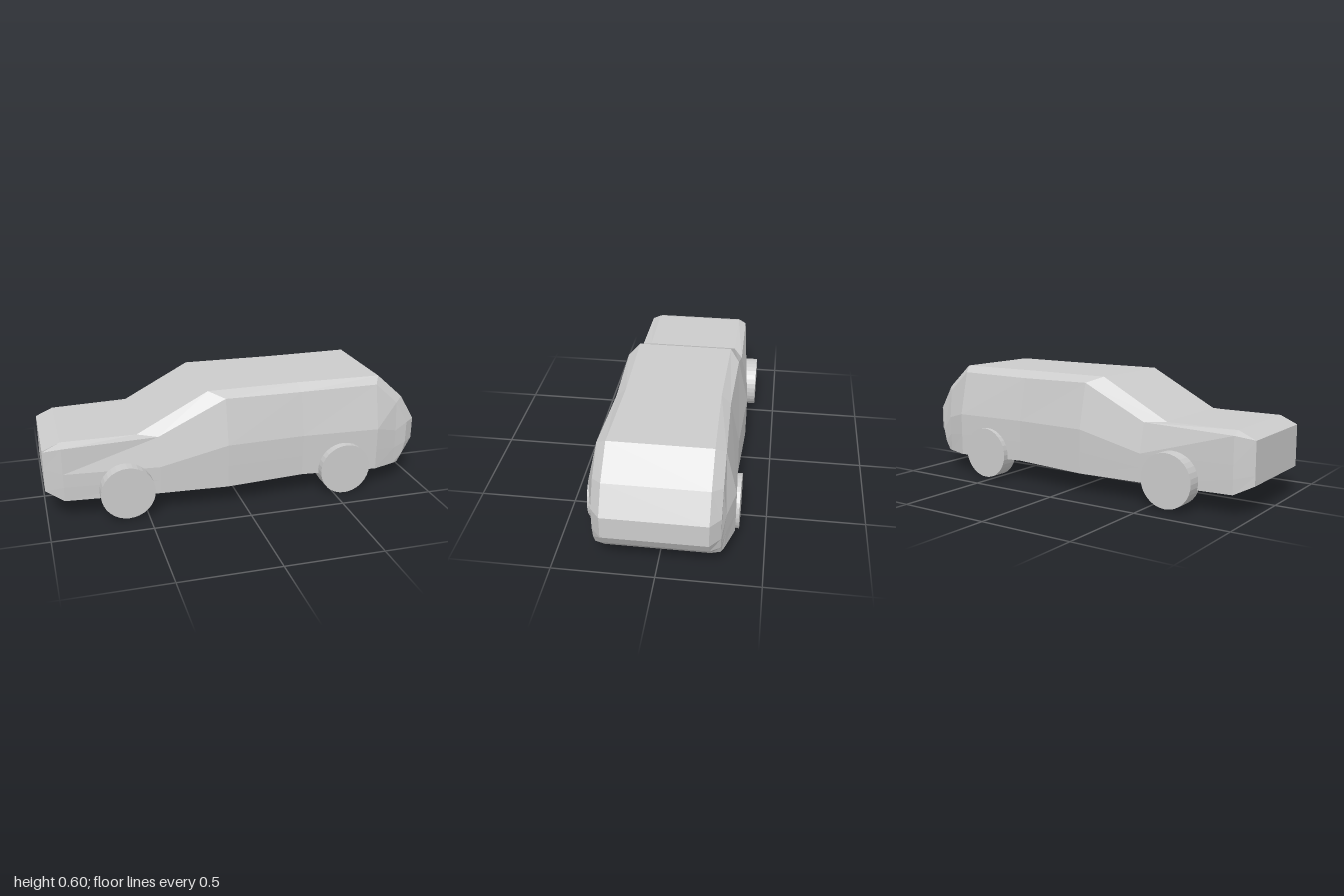
import * as THREE from 'three';

const grey = new THREE.MeshStandardMaterial({ color: 0xcccccc, flatShading: true });

// Each station is half a cross-section: floor edge, lower side, waist, shoulder, roof edge as [x, y, z]
const stations = [
  [[-1, 0.15, 0.25], [-1, 0.2, 0.25], [-1, 0.27, 0.25], [-1, 0.36, 0.25], [-1, 0.365, 0.25]],
  [[-0.91, 0.105, 0.295], [-0.91, 0.18, 0.297], [-0.91, 0.25, 0.297], [-0.91, 0.385, 0.295], [-0.91, 0.405, 0.25]],
  [[-0.43, 0.105, 0.335], [-0.43, 0.18, 0.335], [-0.43, 0.25, 0.335], [-0.43, 0.4, 0.3], [-0.53, 0.405, 0.25]],
  [[-0.08, 0.105, 0.353], [-0.08, 0.22, 0.354], [-0.08, 0.335, 0.354], [-0.08, 0.568, 0.3], [-0.16, 0.6, 0.25]],
  [[0.33, 0.115, 0.335], [0.33, 0.22, 0.336], [0.33, 0.335, 0.336], [0.33, 0.562, 0.288], [0.32, 0.6, 0.24]],
  [[0.745, 0.105, 0.353], [0.745, 0.22, 0.354], [0.745, 0.335, 0.354], [0.745, 0.568, 0.3], [0.775, 0.6, 0.25]],
  [[0.87, 0.105, 0.312], [0.87, 0.2, 0.316], [0.87, 0.3, 0.316], [0.87, 0.455, 0.3], [0.92, 0.47, 0.25]],
  [[0.9, 0.105, 0.298], [0.925, 0.155, 0.3], [0.94, 0.22, 0.3], [0.94, 0.335, 0.3], [1, 0.335, 0.25]],
  [[0.915, 0.105, 0.25], [0.965, 0.16, 0.25], [1, 0.22, 0.25], [1, 0.33, 0.25], [1, 0.335, 0.25]],
];

// Lofts the mirrored stations into a closed shell
function bodyGeometry() {
  const pos = [];
  const quad = (a, b, c, d) => pos.push(...a, ...b, ...c, ...a, ...c, ...d);
  const mirror = ([x, y, z]) => [x, y, -z];
  const rings = stations.map((half) => [...half, ...half.map(mirror).reverse()]);
  const n = rings[0].length;
  for (let i = 0; i < rings.length - 1; i++) {
    const a = rings[i], b = rings[i + 1];
    for (let j = 0; j < n; j++) {
      const k = (j + 1) % n;
      quad(a[j], b[j], b[k], a[k]);
    }
  }
  // nose and tail panels
  const nose = stations[0], tail = stations[stations.length - 1];
  for (let j = 0; j < nose.length - 1; j++) {
    quad(tail[j], mirror(tail[j]), mirror(tail[j + 1]), tail[j + 1]);
    quad(mirror(nose[j]), nose[j], nose[j + 1], mirror(nose[j + 1]));
  }
  const geo = new THREE.BufferGeometry();
  geo.setAttribute('position', new THREE.Float32BufferAttribute(pos, 3));
  geo.computeVertexNormals();
  return geo;
}

function wheel(name, x, y, zIn, zOut) {
  const geo = new THREE.CylinderGeometry(0.137, 0.137, Math.abs(zOut - zIn), 32).rotateX(Math.PI / 2);
  const mesh = new THREE.Mesh(geo, grey);
  mesh.name = name;
  mesh.position.set(x, y, (zIn + zOut) / 2);
  return mesh;
}

export function createModel() {
  const car = new THREE.Group();
  car.name = 'car';
  const body = new THREE.Mesh(bodyGeometry(), grey);
  body.name = 'body';
  car.add(body);
  // the car drives towards -x
  car.add(
    wheel('frontWheelNear', -0.602, 0.146, 0.29, 0.38),
    wheel('frontWheelFar', -0.602, 0.146, -0.29, -0.385),
    wheel('rearWheelNear', 0.557, 0.138, 0.29, 0.383),
    wheel('rearWheelFar', 0.557, 0.138, -0.275, -0.368),
  );
  return car;
}
